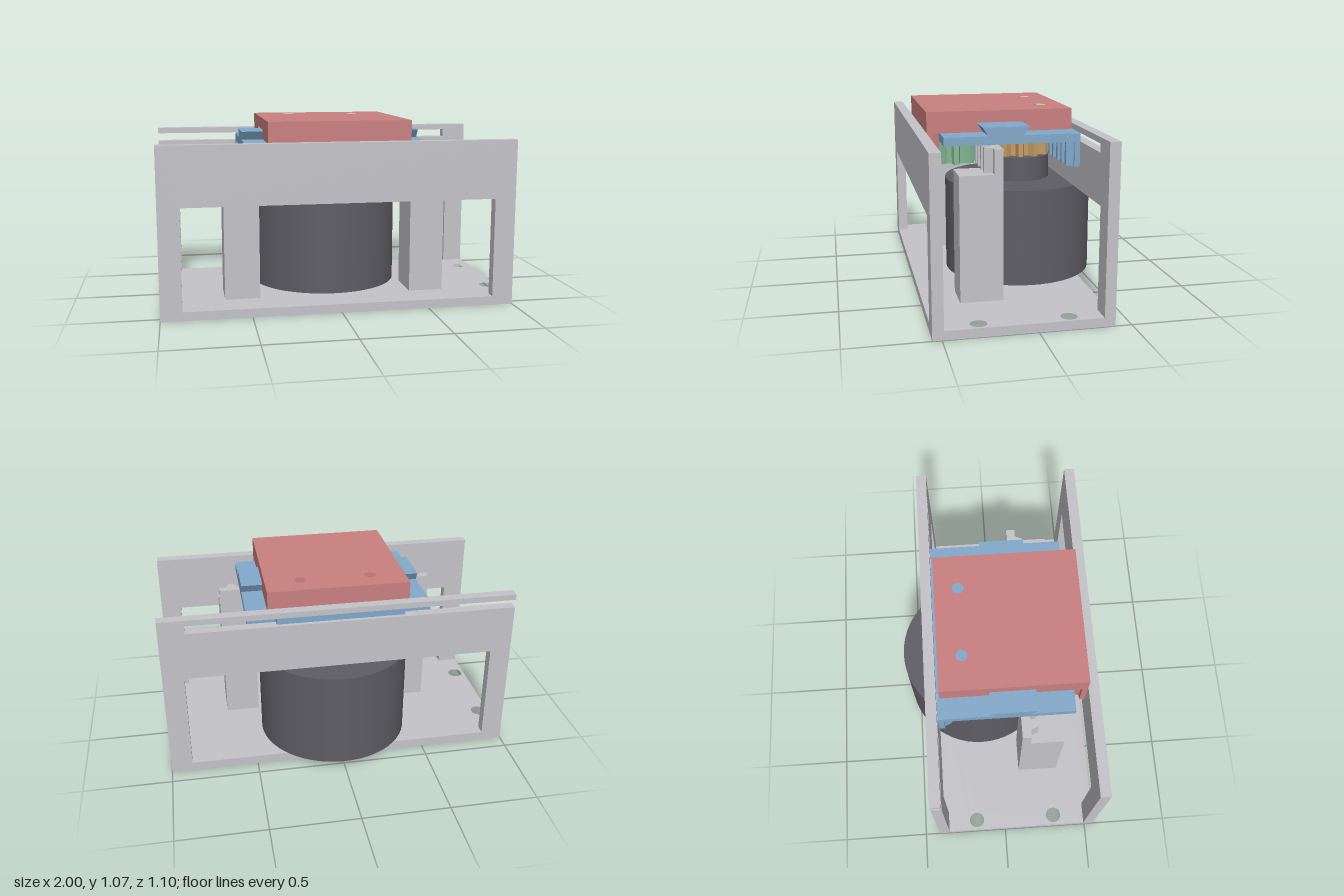
import * as THREE from 'three';

const paint = (name, color) => Object.assign(new THREE.MeshStandardMaterial({ color }), { name });

export function createModel() {
  const gray = paint('frame gray', 0xc4c3c8);
  const dark = paint('motor charcoal', 0x5e5d64);
  const red = paint('carriage red', 0xc97f7f);
  const blue = paint('slide blue', 0x82a9ca);
  const green = paint('pinion green', 0x84bb93);
  const orange = paint('drive gear orange', 0xc89d66);

  const model = new THREE.Group();
  model.name = 'rackAndPinionActuator';

  const add = (name, geometry, material, x = 0, y = 0, z = 0) => {
    const mesh = new THREE.Mesh(geometry, material);
    mesh.name = name;
    mesh.position.set(x, y, z);
    model.add(mesh);
    return mesh;
  };
  const box = (name, material, [x0, x1], [y0, y1], [z0, z1]) =>
    add(name, new THREE.BoxGeometry(x1 - x0, y1 - y0, z1 - z0), material, (x0 + x1) / 2, (y0 + y1) / 2, (z0 + z1) / 2);
  const outline = (points) => new THREE.Shape(points.map(([a, b]) => new THREE.Vector2(a, b)));
  const extrude = (shape, depth) => new THREE.ExtrudeGeometry(shape, { depth, bevelEnabled: false, curveSegments: 20 });

  // Plan given as [x, z], raised from y0 to y1, with round holes [x, z, r]
  const plan = (points, y0, y1, holes = []) => {
    const shape = outline(points.map(([x, z]) => [x, -z]));
    for (const [x, z, r] of holes) shape.holes.push(new THREE.Path().absarc(x, -z, r, 0, Math.PI * 2, true));
    return extrude(shape, y1 - y0).rotateX(-Math.PI / 2).translate(0, y0, 0);
  };
  // Profile given as [z, y], swept across the width
  const across = (points, halfWidth) =>
    extrude(outline(points), halfWidth * 2).rotateY(-Math.PI / 2).translate(halfWidth, 0, 0);
  const rect = (x0, x1, z0, z1) => [[x0, z0], [x1, z0], [x1, z1], [x0, z1]];

  // Toothed bar along x: teeth rise from zRoot to zTip
  const pitch = 0.087;
  const rack = (half, zBack, zRoot, zTip, phase) => {
    const points = [[-half, zBack], [-half, zRoot]];
    for (let k = -8; k <= 8; k++) {
      const c = (k + phase) * pitch;
      if (Math.abs(c) + 0.03 > half) continue;
      points.push([c - 0.03, zRoot], [c - 0.012, zTip], [c + 0.012, zTip], [c + 0.03, zRoot]);
    }
    points.push([half, zRoot], [half, zBack]);
    return points;
  };
  // Spur gear outline
  const gear = (teeth, rRoot, rTip) => {
    const points = [];
    const step = (Math.PI * 2) / teeth;
    for (let i = 0; i < teeth; i++) {
      for (const [t, r] of [[-0.32, rRoot], [-0.14, rTip], [0.14, rTip], [0.32, rRoot]]) {
        const a = (i + t) * step;
        points.push([Math.sin(a) * r, Math.cos(a) * r]);
      }
    }
    return points;
  };

  // Base plate with corner bolts, motor bore and motor bolts
  const motorZ = -0.11;
  const holes = [[0, motorZ, 0.18], [0.315, 0.07, 0.042], [-0.315, 0.07, 0.042], [0, 0.25, 0.042], [-0.315, -0.29, 0.042]];
  for (const x of [-0.94, 0.94]) for (const z of [-0.175, 0.305]) holes.push([x, z, 0.045]);
  add('basePlate', plan(rect(-1, 1, -0.41, 0.55), 0, 0.05, holes), gray);

  // Windowed walls; the back one has a guide slot open at one end
  const wall = (name, points, z) => {
    const shape = outline(points);
    shape.holes.push(new THREE.Path([[-0.88, 0.05], [-0.88, 0.62], [0.88, 0.62], [0.88, 0.05]].map(([x, y]) => new THREE.Vector2(x, y))));
    add(name, extrude(shape, 0.06), gray, 0, 0, z);
  };
  wall('frontWall', [[-1, 0], [1, 0], [1, 0.953], [-1, 0.953]], 0.49);
  wall('backWall', [[-1, 0], [1, 0], [1, 0.975], [-1, 0.975], [-1, 0.942], [0.855, 0.942], [0.855, 0.895], [-1, 0.895]], -0.41);

  // Posts carrying the fixed rack
  for (const s of [-1, 1]) {
    box(s > 0 ? 'leftPost' : 'rightPost', gray, [s * 0.54 - 0.1, s * 0.54 + 0.1], [0.05, 0.755], [0.11, 0.35]);
  }
  add('fixedRack', plan(rack(0.64, 0.11, 0.16, 0.204, 0.5), 0.755, 0.892), gray);

  // Motor, shoulder, shaft and drive gear
  const drum = (name, r, y0, y1) =>
    add(name, new THREE.CylinderGeometry(r, r, y1 - y0, 56), dark, 0, (y0 + y1) / 2, motorZ);
  drum('motorBody', 0.44, 0.05, 0.61);
  drum('motorShoulder', 0.19, 0.61, 0.75);
  drum('motorShaft', 0.05, 0.75, 0.86);
  add('driveGear', plan(gear(13, 0.157, 0.2), 0.757, 0.89), orange, 0, 0, motorZ);

  // Pinions rolling between the fixed rack and the carriage rack
  for (const s of [-1, 1]) {
    const pinion = add(s > 0 ? 'leftPinion' : 'rightPinion', plan(gear(9, 0.104, 0.144), 0.757, 0.885), green, s * 0.2, 0, 0.31);
    pinion.rotation.y = s * 0.14;
  }

  // Middle slide: plate with dovetail rail, guide tab and driven rack
  add('slidePlate', across([
    [-0.347, 0.895], [0.412, 0.895], [0.412, 0.942], [0.168, 0.942],
    [0.2, 0.99], [-0.059, 0.99], [-0.032, 0.942], [-0.347, 0.942],
  ], 0.52), blue);
  box('guideTab', blue, [-0.36, 0.36], [0.9, 0.938], [-0.395, -0.347]);
  add('drivenRack', plan(rack(0.52, -0.347, -0.315, -0.275, 0.5).reverse(), 0.757, 0.895), blue);

  // Top carriage: grooved front part, drilled rear part, toothed apron
  add('carriageFront', across([
    [-0.12, 0.947], [-0.037, 0.947], [-0.068, 1.0], [0.21, 1.0], [0.176, 0.947],
    [0.488, 0.947], [0.488, 1.065], [-0.12, 1.065],
  ], 0.4), red);
  add('carriageRear', plan(rect(-0.4, 0.4, -0.33, -0.12), 0.947, 1.065, [[-0.2, -0.195, 0.033], [0.2, -0.195, 0.033]]), red);
  add('carriageRack', plan(rack(0.4, 0.488, 0.456, 0.416, 0), 0.757, 0.947), red);

  return model;
}
